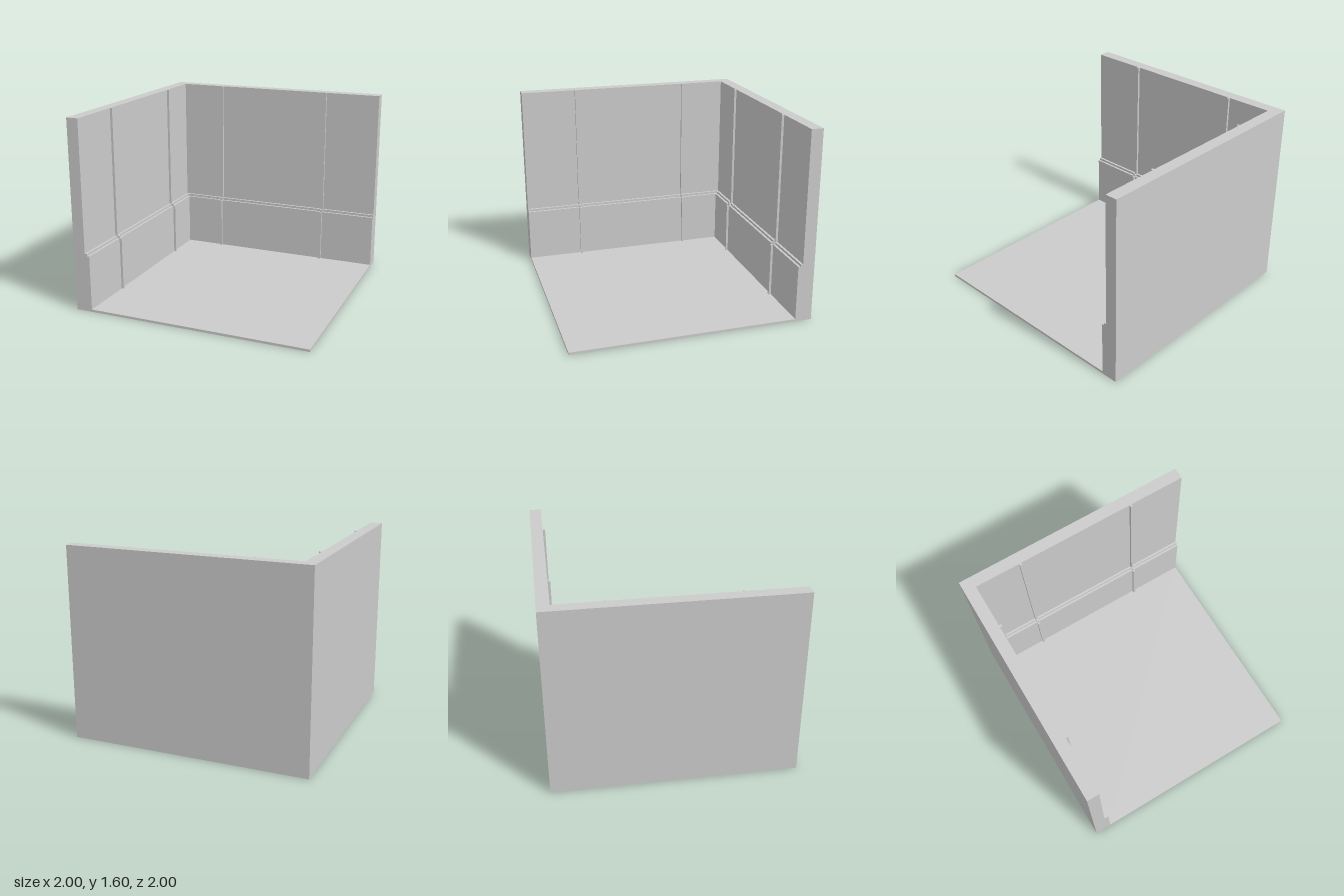
import * as THREE from 'three';

const FLOOR = 0.02, TOP = 1.6;
const material = new THREE.MeshStandardMaterial({ color: 0xcccccc, flatShading: true });

// Stepped inner face of a wall from bottom to top, pushed inwards by `offset`
const innerFace = (bottom, offset) => [
  [-0.86, bottom], [-0.86, 0.48], [-0.88, 0.48], [-0.88, 0.5], [-0.9, 0.5], [-0.9, TOP],
].map(([x, y]) => new THREE.Vector2(x + offset, y));

// Extrude an (x, y) section along z
function extrudeSection(points, z0, z1) {
  const geometry = new THREE.ExtrudeGeometry(new THREE.Shape(points), {
    depth: z1 - z0, bevelEnabled: false,
  });
  return geometry.translate(0, 0, z0);
}

// Wall along z whose corner end (corner = -1 or 1) is cut to a mitre
function wallGeometry(corner) {
  const outer = [new THREE.Vector2(-1, TOP), new THREE.Vector2(-1, 0)];
  const geometry = extrudeSection([...outer, ...innerFace(0, 0)], -1, 1);
  const p = geometry.attributes.position;
  for (let i = 0; i < p.count; i++) {
    if (p.getZ(i) * corner > 0.5) p.setZ(i, -corner * p.getX(i));
  }
  geometry.computeVertexNormals();
  return geometry;
}

// One wall with its two vertical battens
function buildWall(name, corner) {
  const wall = new THREE.Group();
  wall.name = name;
  const panel = new THREE.Mesh(wallGeometry(corner), material);
  panel.name = name + 'Panel';
  wall.add(panel);
  const section = [...innerFace(FLOOR, 0).reverse(), ...innerFace(FLOOR, 0.02)];
  for (const z of [-0.51, 0.51]) {
    const batten = new THREE.Mesh(extrudeSection(section, z - 0.01, z + 0.01), material);
    batten.name = name + 'Batten';
    wall.add(batten);
  }
  return wall;
}

export function createModel() {
  const room = new THREE.Group();
  room.name = 'roomCorner';

  // Floor slab inside the walls
  const floor = new THREE.Mesh(new THREE.BoxGeometry(1.86, FLOOR, 1.86), material);
  floor.name = 'floor';
  floor.position.set(0.07, FLOOR / 2, 0.07);
  room.add(floor);

  // Side wall on -x, and the same wall turned to stand at the back
  const sideWall = buildWall('sideWall', -1);
  const backWall = buildWall('backWall', 1);
  backWall.rotation.y = -Math.PI / 2;
  room.add(sideWall, backWall);

  return room;
}
